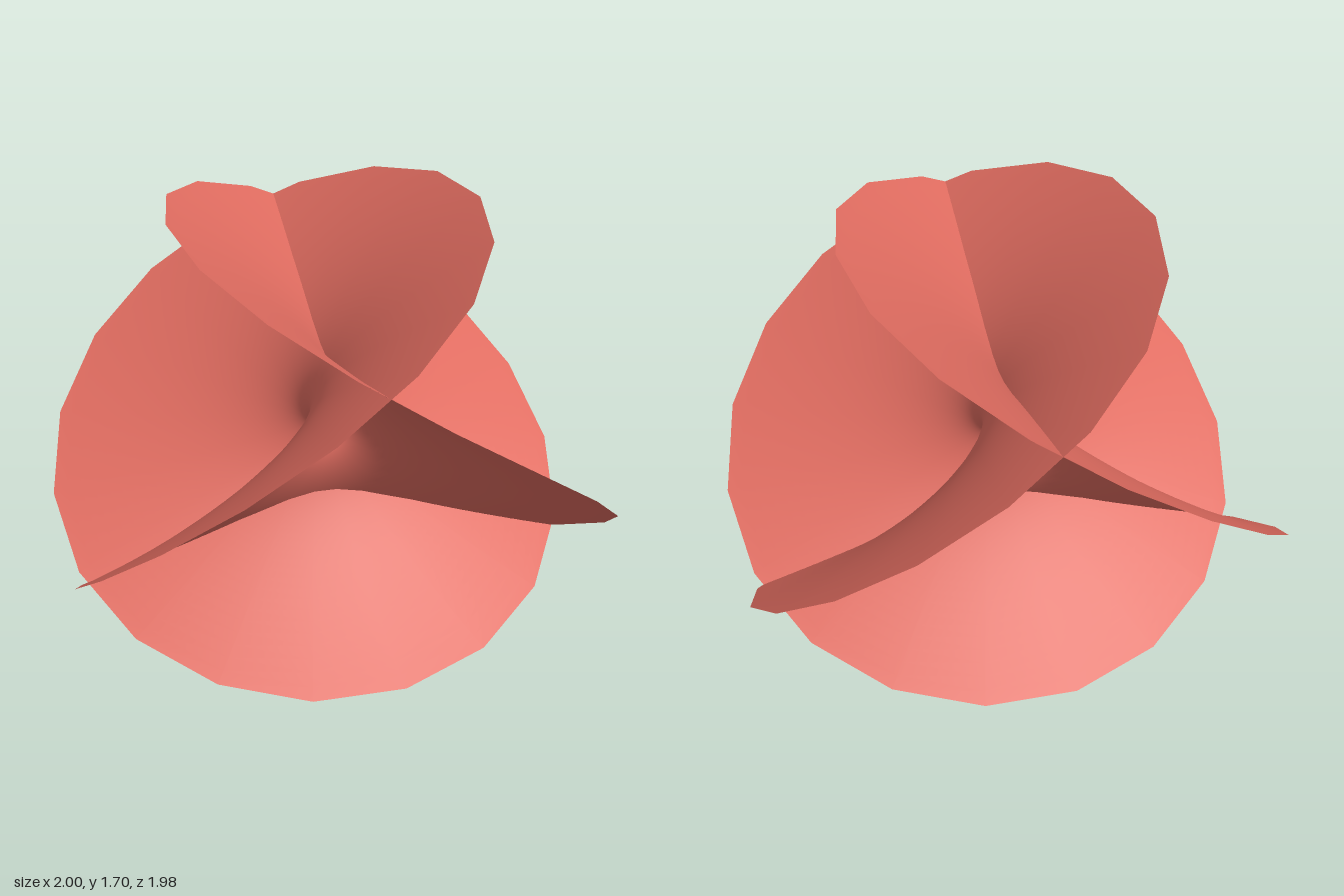
import * as THREE from 'three';
import { ParametricGeometry } from 'three/addons/geometries/ParametricGeometry.js';
import { mergeVertices } from 'three/addons/utils/BufferGeometryUtils.js';

const RADIUS = 3;      // parameter radius, large enough for the sheet to cross itself
const SIDES = 50;      // segments round the rim
const RINGS = 50;      // segments from centre to rim
const SCALE = 0.0949;  // brings the widest rim points to x = +-1
const CENTRE_Y = 0.8475;

// Enneper minimal surface in polar form
function enneper(u, v, target) {
  const r = u * RADIUS;
  const a = v * Math.PI * 2;
  const c = r ** 3 / 3;
  target.set(
    SCALE * (r * Math.cos(a) - c * Math.cos(3 * a)),
    CENTRE_Y + SCALE * r * r * Math.cos(2 * a),
    SCALE * (r * Math.sin(a) + c * Math.sin(3 * a))
  );
}

export function createModel() {
  const group = new THREE.Group();
  group.name = 'minimalSurface';

  // Weld the centre and the seam so the shading is smooth everywhere
  let geometry = new ParametricGeometry(enneper, RINGS, SIDES);
  geometry.deleteAttribute('normal');
  geometry.deleteAttribute('uv');
  geometry = mergeVertices(geometry, 1e-5);
  geometry.computeVertexNormals();

  const material = new THREE.MeshStandardMaterial({ color: 0xe06c60, side: THREE.DoubleSide });
  const sheet = new THREE.Mesh(geometry, material);
  sheet.name = 'curvedSheet';
  group.add(sheet);
  return group;
}
